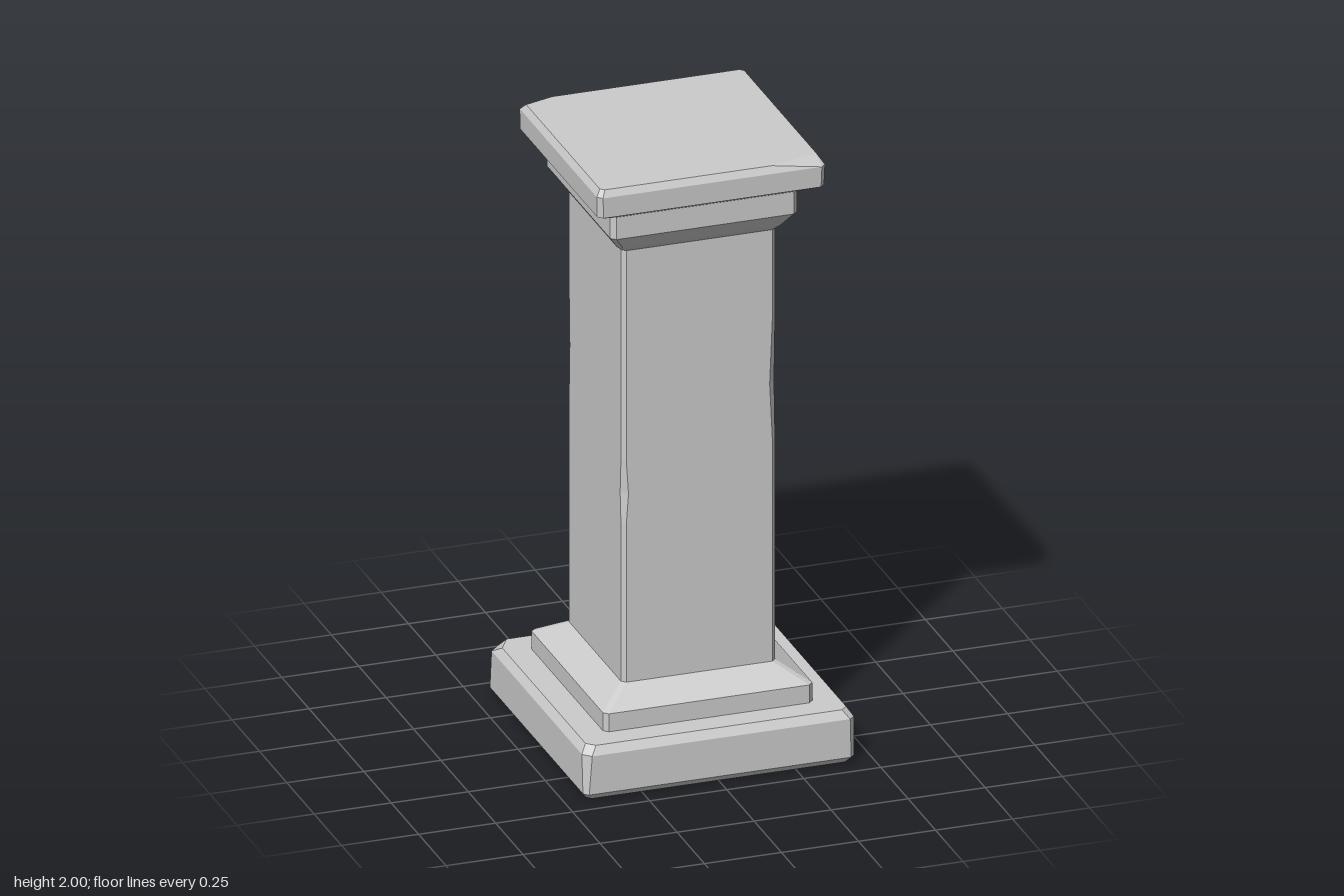
import * as THREE from 'three';

const material = new THREE.MeshStandardMaterial({ color: 0xcccccc, flatShading: true });

// Corners run counter-clockwise seen from above.
const CORNERS = [[1, 1], [1, -1], [-1, -1], [-1, 1]];

// Square ring with cut corners; cuts is one size, or four entries of size or [cutX, cutZ].
function ring([y, half, cuts]) {
  const points = [];
  CORNERS.forEach(([sx, sz], i) => {
    const cut = Array.isArray(cuts) ? cuts[i] : cuts;
    const [cx, cz] = Array.isArray(cut) ? cut : [cut, cut];
    const onZ = [sx * (half - cx), y, sz * half];
    const onX = [sx * half, y, sz * (half - cz)];
    points.push(...(i % 2 === 0 ? [onZ, onX] : [onX, onZ]));
  });
  return points;
}

// Closed, faceted block lofted through rings from bottom to top.
function block(name, sections) {
  const rings = sections.map(ring);
  const pos = [];
  const tri = (a, b, c) => pos.push(...a, ...b, ...c);
  for (let r = 0; r < rings.length - 1; r++) {
    const lo = rings[r], hi = rings[r + 1];
    for (let i = 0; i < 8; i++) {
      const j = (i + 1) % 8;
      tri(lo[i], lo[j], hi[j]);
      tri(lo[i], hi[j], hi[i]);
    }
  }
  const bottom = rings[0], top = rings[rings.length - 1];
  for (let i = 1; i < 7; i++) {
    tri(bottom[0], bottom[i + 1], bottom[i]);
    tri(top[0], top[i], top[i + 1]);
  }
  const geometry = new THREE.BufferGeometry();
  geometry.setAttribute('position', new THREE.Float32BufferAttribute(pos, 3));
  geometry.computeVertexNormals();
  const mesh = new THREE.Mesh(geometry, material);
  mesh.name = name;
  return mesh;
}

export function createModel() {
  const group = new THREE.Group();
  group.name = 'pillar';

  group.add(
    // Wide foot slab with worn upper corners
    block('plinth', [
      [0, 0.425, 0.015],
      [0.02, 0.44, 0.015],
      [0.148, 0.44, [0.018, 0.02, 0.03, 0.025]],
      [0.175, 0.422, [0.02, 0.025, [0.035, 0.06], 0.025]],
    ]),
    // Stepped base sloping up to the shaft
    block('baseMoulding', [
      [0.17, 0.34, 0.015],
      [0.235, 0.34, 0.015],
      [0.292, 0.247, 0.013],
    ]),
    // Shaft with small chips along its corners
    block('shaft', [
      [0.28, 0.25, 0.013],
      [0.82, 0.25, 0.013],
      [0.92, 0.25, [0.013, 0.026, 0.013, 0.02]],
      [1.03, 0.25, 0.013],
      [1.22, 0.25, [0.022, 0.013, 0.02, 0.013]],
      [1.44, 0.25, 0.013],
      [1.75, 0.25, 0.013],
    ]),
    // Flared moulding under the cap
    block('capitalMoulding', [
      [1.735, 0.25, 0.013],
      [1.755, 0.27, 0.015],
      [1.802, 0.303, [0.015, 0.02, 0.015, 0.015]],
      [1.89, 0.303, 0.015],
    ]),
    // Cap slab with a bevelled, chipped top
    block('capSlab', [
      [1.875, 0.3, 0.012],
      [1.91, 0.368, 0.015],
      [1.978, 0.37, [0.015, 0.015, 0.02, 0.015]],
      [2, 0.357, [[0.16, 0.045], 0.012, [0.095, 0.03], 0.012]],
    ]),
  );
  return group;
}
